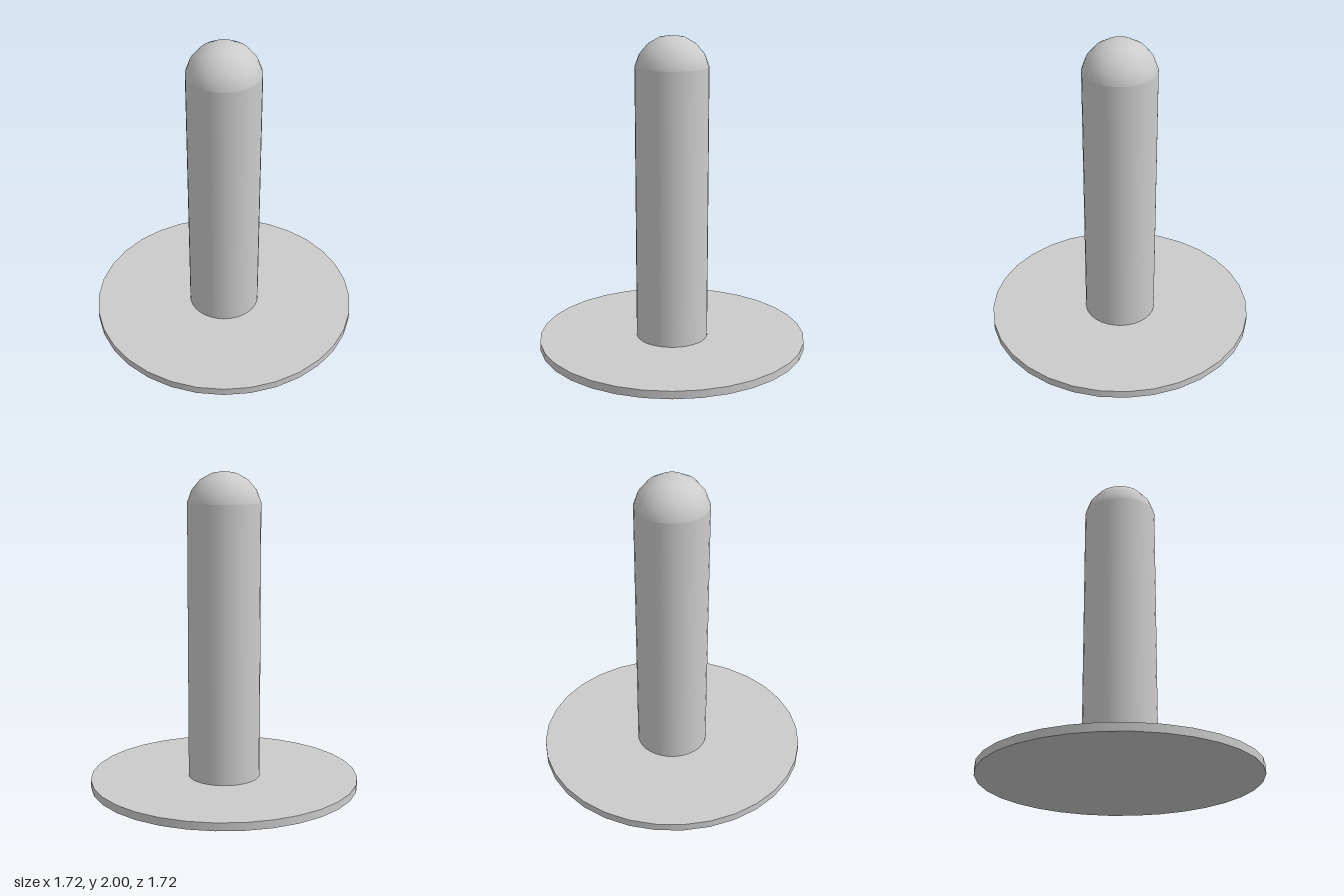
import * as THREE from 'three';

export function createModel() {
  const model = new THREE.Group();
  const material = new THREE.MeshStandardMaterial({ color: 0xcccccc });
  const add = (name, geometry, y) => {
    const mesh = new THREE.Mesh(geometry, material);
    mesh.name = name;
    mesh.position.y = y;
    model.add(mesh);
  };

  const sides = 32;
  const baseHeight = 0.05;
  const domeRadius = 0.234;
  const domeAngle = THREE.MathUtils.degToRad(80); // dome stops just above its equator
  const domeCentre = 2 - domeRadius;
  const postRadius = domeRadius * Math.sin(domeAngle);
  const postTop = domeCentre + domeRadius * Math.cos(domeAngle);
  const postHeight = postTop - baseHeight;

  // Thin round foot plate
  add('base', new THREE.CylinderGeometry(0.86, 0.86, baseHeight, sides), baseHeight / 2);

  // Upright shaft, open where it meets the plate and the dome
  add('post', new THREE.CylinderGeometry(postRadius, postRadius, postHeight, sides, 1, true),
    baseHeight + postHeight / 2);

  // Rounded tip
  add('dome', new THREE.SphereGeometry(domeRadius, sides, 4, 0, Math.PI * 2, 0, domeAngle), domeCentre);

  return model;
}
